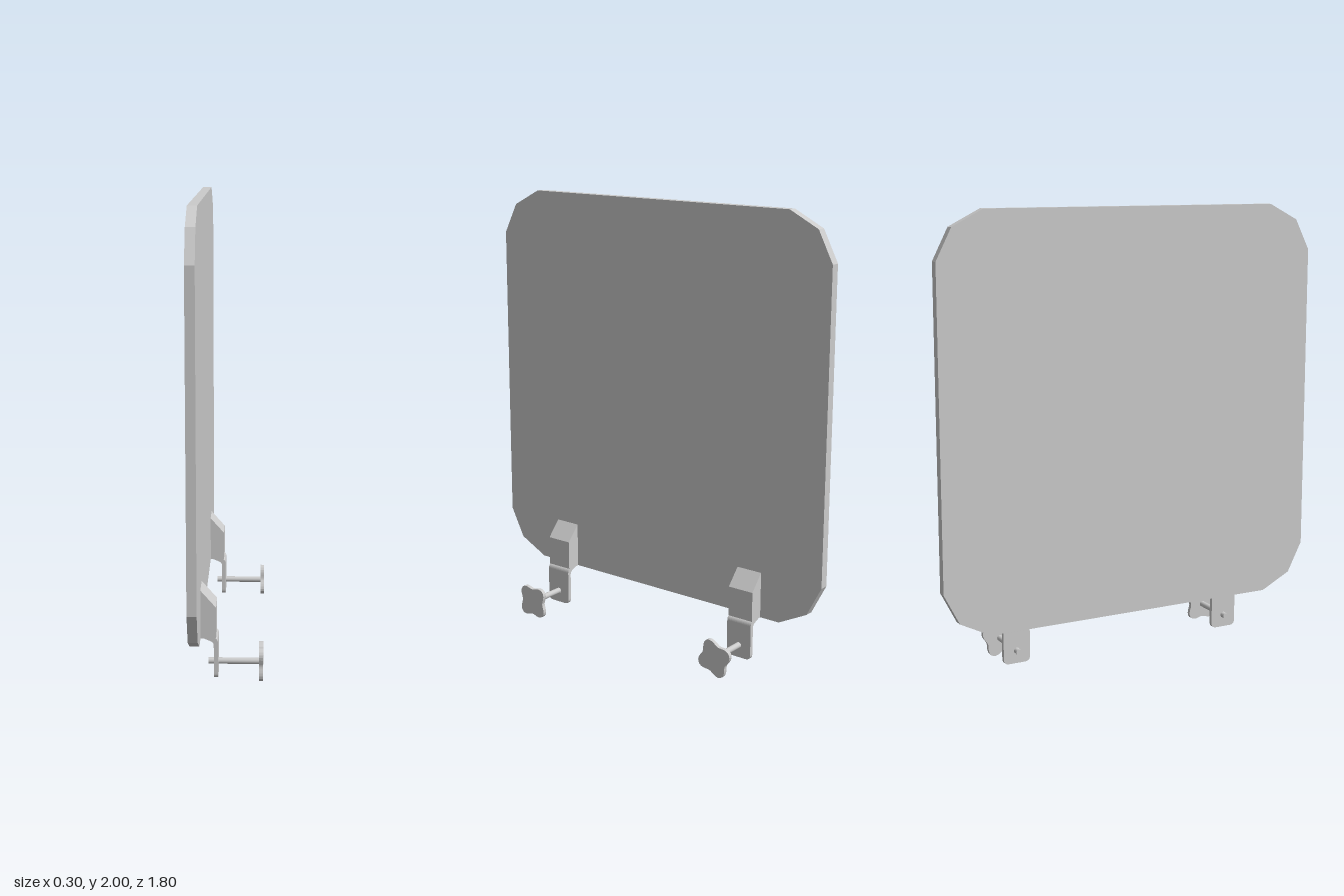
import * as THREE from 'three';

const material = new THREE.MeshStandardMaterial({ color: 0xcccccc });

function mesh(name, geometry, x = 0, y = 0) {
  const m = new THREE.Mesh(geometry, material);
  m.name = name;
  m.position.set(x, y, 0);
  return m;
}

const toShape = (points) => new THREE.Shape(points.map(([a, b]) => new THREE.Vector2(a, b)));

// Extrudes a shape along +x; the shape's own x axis ends up along -z.
function extrudeX(shape, depth) {
  return new THREE.ExtrudeGeometry(shape, { depth, bevelEnabled: false, curveSegments: 10 }).rotateY(Math.PI / 2);
}

// Flat board with faceted round corners
function panel() {
  const corner = [[0.9, 0.69], [0.83, 0.826], [0.69, 0.897]];
  const flip = corner.slice().reverse();
  const points = [
    ...corner,
    ...flip.map(([a, b]) => [-a, b]),
    ...corner.map(([a, b]) => [-a, -b]),
    ...flip.map(([a, b]) => [a, -b]),
  ];
  return mesh('panel', extrudeX(toShape(points), 0.04), -0.155, 1.103);
}

// Four-lobed hand knob, lobes starting at the given angle
function knobShape(angle) {
  const points = [];
  for (let i = 0; i < 48; i++) {
    const t = (i / 48) * Math.PI * 2;
    const r = 0.075 + 0.013 * Math.cos(4 * (t - angle));
    points.push([r * Math.cos(t), r * Math.sin(t)]);
  }
  return toShape(points);
}

function clamp(name, z, knobAngle) {
  const group = new THREE.Group();
  group.name = name;
  group.position.z = z;
  const half = 0.0625, screwY = 0.082;

  // Wedge block against the panel
  const wedge = toShape([[-0.116, 0.205], [-0.05, 0.205], [-0.05, 0.34], [-0.116, 0.415]]);
  const wedgeGeometry = new THREE.ExtrudeGeometry(wedge, { depth: 2 * half, bevelEnabled: false });
  group.add(mesh('wedgeBlock', wedgeGeometry.translate(0, 0, -half)));

  // Bent strip below the wedge, turning down into the tab
  const bend = new THREE.Shape();
  bend.moveTo(-0.108, 0.207);
  bend.lineTo(-0.06, 0.207);
  bend.quadraticCurveTo(-0.042, 0.203, -0.042, 0.182);
  bend.lineTo(-0.042, 0.17);
  bend.lineTo(-0.06, 0.17);
  bend.quadraticCurveTo(-0.06, 0.187, -0.072, 0.192);
  bend.closePath();
  const bendGeometry = new THREE.ExtrudeGeometry(bend, { depth: 2 * half, bevelEnabled: false, curveSegments: 8 });
  group.add(mesh('bentStrip', bendGeometry.translate(0, 0, -half)));

  // Hanging tab with rounded lower corners and a screw hole
  const r = 0.025, low = 0.025;
  const tab = new THREE.Shape();
  tab.moveTo(half, 0.17);
  tab.lineTo(-half, 0.17);
  tab.lineTo(-half, low + r);
  tab.quadraticCurveTo(-half, low, -half + r, low);
  tab.lineTo(half - r, low);
  tab.quadraticCurveTo(half, low, half, low + r);
  tab.closePath();
  tab.holes.push(new THREE.Path().absarc(0, screwY, 0.014, 0, Math.PI * 2, true));
  group.add(mesh('tab', extrudeX(tab, 0.018), -0.06));

  // Clamping screw through the tab
  const screw = new THREE.CylinderGeometry(0.0135, 0.0135, 0.218, 20).rotateZ(Math.PI / 2);
  group.add(mesh('screw', screw, 0.024, screwY));
  group.add(mesh('knob', extrudeX(knobShape(knobAngle), 0.018), 0.129, screwY));
  return group;
}

export function createModel() {
  const model = new THREE.Group();
  model.name = 'clampOnPanel';
  model.add(
    panel(),
    clamp('leftClamp', 0.531, Math.PI / 4),
    clamp('rightClamp', -0.531, THREE.MathUtils.degToRad(25)),
  );
  return model;
}
